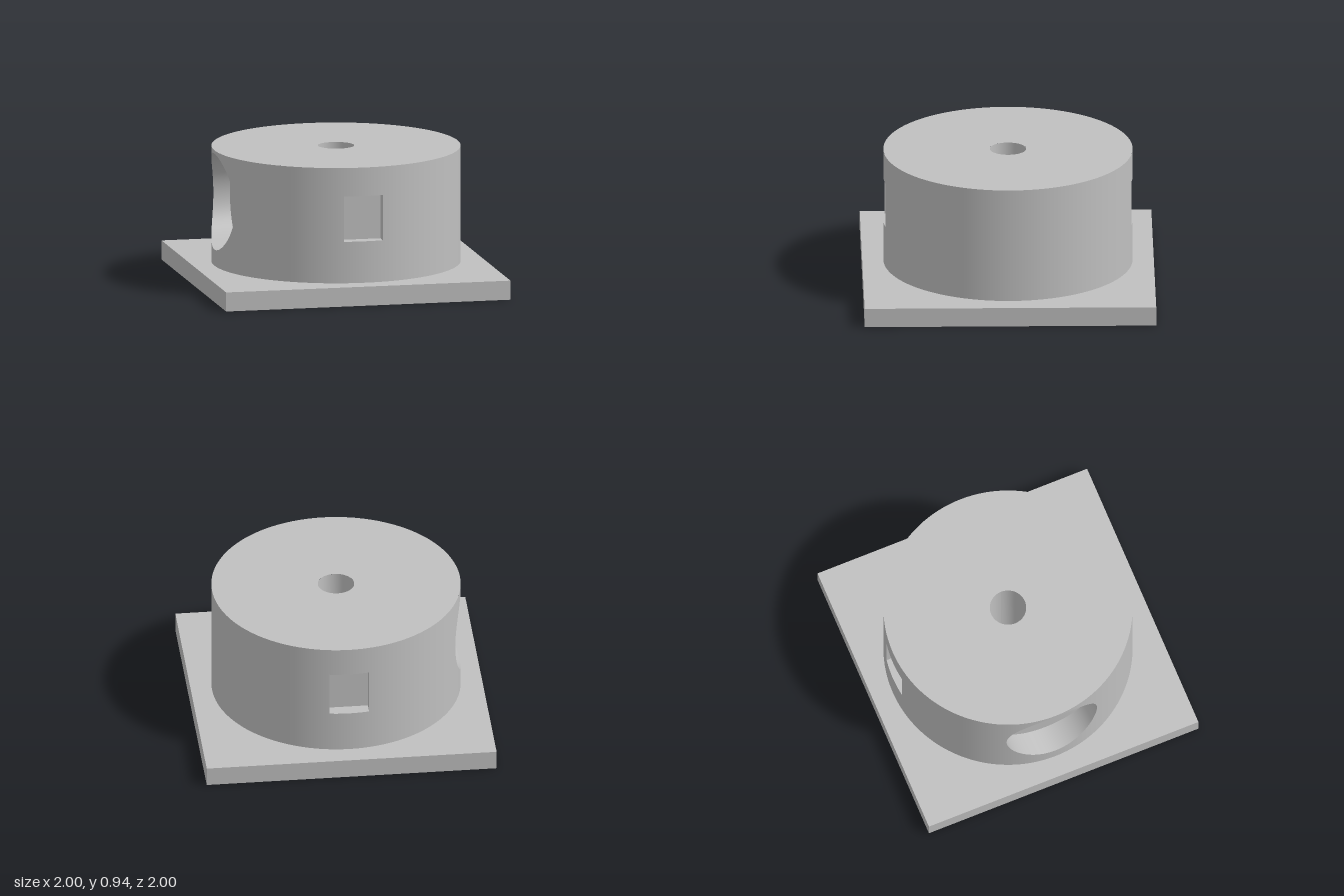
import * as THREE from 'three';

const R = 0.855, BASE = 0.133, TOP = 0.937;      // drum radius, base top, drum top
const CY = 0.58;                                 // centre height of all side openings
const W = 0.137, H = 0.158, WIN_FLOOR = 0.766;   // window half width, half height, floor depth
const CR = 0.335, CUP_FLOOR = 0.67;              // round recess radius and floor depth
const BORE = 0.055, SHAFT = 0.125;               // small bore and top hole radii

const grey = new THREE.MeshStandardMaterial({ color: 0xbfbfbf });
grey.name = 'grey';

const lerp = THREE.MathUtils.lerp;
const onDrum = (x) => Math.sqrt(R * R - x * x);

// Grid surface from a rule point(u, v); it faces along du x dv.
function patch(point, nu, nv = 1) {
  const pos = [], idx = [];
  for (let j = 0; j <= nv; j++) {
    for (let i = 0; i <= nu; i++) pos.push(...point(i / nu, j / nv));
  }
  for (let j = 0; j < nv; j++) {
    for (let i = 0; i < nu; i++) {
      const a = j * (nu + 1) + i, d = a + nu + 1;
      idx.push(a, a + 1, d, a + 1, d + 1, d);
    }
  }
  const g = new THREE.BufferGeometry();
  g.setAttribute('position', new THREE.Float32BufferAttribute(pos, 3));
  g.setIndex(idx);
  g.computeVertexNormals();
  return g;
}

function add(parent, name, geometry) {
  const mesh = new THREE.Mesh(geometry, grey);
  mesh.name = name;
  parent.add(mesh);
  return mesh;
}

// Inward-facing round hole along z, from the mouth down to z = end.
function hole(r, mouth, end, n) {
  return patch((u, v) => {
    const t = u * Math.PI * 2, x = r * Math.cos(t);
    return [x, r * Math.sin(t), lerp(mouth(x), end, v)];
  }, n);
}

// Curved piece of the drum side with exact radial normals.
function wall(angle, low, high, n) {
  const g = patch((u, v) => {
    const a = angle(u);
    return [R * Math.sin(a), lerp(low(u), high(u), v), R * Math.cos(a)];
  }, n);
  const p = g.attributes.position;
  for (let i = 0; i < p.count; i++) g.attributes.normal.setXYZ(i, p.getX(i) / R, 0, p.getZ(i) / R);
  return g;
}

// Rectangular pocket facing +z, with the drum side above and below it.
function windowPocket(name) {
  const g = new THREE.Group();
  g.name = name;
  const aw = Math.asin(W / R), angle = (u) => lerp(-aw, aw, u);
  add(g, 'wallBelowWindow', wall(angle, () => BASE, () => CY - H, 12));
  add(g, 'wallAboveWindow', wall(angle, () => CY + H, () => TOP, 12));
  add(g, 'windowFloor', new THREE.PlaneGeometry(2 * W, 2 * H)).position.set(0, CY, WIN_FLOOR);
  const depth = onDrum(W) - WIN_FLOOR;
  for (const s of [-1, 1]) {
    const jamb = add(g, 'windowJamb', new THREE.PlaneGeometry(depth, 2 * H));
    jamb.position.set(s * W, CY, WIN_FLOOR + depth / 2);
    jamb.rotation.y = -s * Math.PI / 2;
    const ledge = patch((u, v) => {
      const x = R * Math.sin(angle(u));
      return [x, CY + s * H, lerp(onDrum(x), WIN_FLOOR, s < 0 ? v : 1 - v)];
    }, 12);
    add(g, s < 0 ? 'windowSill' : 'windowLintel', ledge);
  }
  return g;
}

// Round recess facing +z, with a small bore in its floor.
function roundRecess() {
  const g = new THREE.Group();
  g.name = 'roundRecess';
  const t = (u) => (u - 0.5) * Math.PI;
  const angle = (u) => Math.asin(CR * Math.sin(t(u)) / R);
  const half = (u) => CR * Math.cos(t(u));
  add(g, 'wallBelowRecess', wall(angle, () => BASE, (u) => CY - half(u), 48));
  add(g, 'wallAboveRecess', wall(angle, (u) => CY + half(u), () => TOP, 48));
  add(g, 'recessRim', hole(CR, onDrum, CUP_FLOOR, 96)).position.y = CY;
  add(g, 'recessFloor', new THREE.RingGeometry(BORE, CR, 96)).position.set(0, CY, CUP_FLOOR);
  add(g, 'bore', hole(BORE, () => CUP_FLOOR, SHAFT, 32)).position.y = CY;
  add(g, 'boreEnd', new THREE.CircleGeometry(BORE, 32)).position.set(0, CY, SHAFT);
  return g;
}

export function createModel() {
  const model = new THREE.Group();
  model.name = 'drumOnSquareBase';

  add(model, 'base', new THREE.BoxGeometry(2, BASE, 2)).position.y = BASE / 2;

  // Plain drum side between the openings
  const aw = Math.asin(W / R), ac = Math.asin(CR / R), P = Math.PI;
  for (const [from, to] of [[aw, P - aw], [P + aw, 1.5 * P - ac], [1.5 * P + ac, 2 * P - aw]]) {
    add(model, 'drumSide', wall((u) => lerp(from, to, u), () => BASE, () => TOP, Math.ceil((to - from) * 24)));
  }

  // Drum top and the central hole
  const top = add(model, 'drumTop', new THREE.RingGeometry(SHAFT, R, 144));
  top.rotation.x = -P / 2;
  top.position.y = TOP;
  add(model, 'centreHole', hole(SHAFT, () => TOP, BASE, 48)).rotation.x = -P / 2;

  // Openings: front, back and the -x side
  const back = windowPocket('backWindow');
  back.rotation.y = P;
  const recess = roundRecess();
  recess.rotation.y = -P / 2;
  model.add(windowPocket('frontWindow'), back, recess);
  return model;
}
